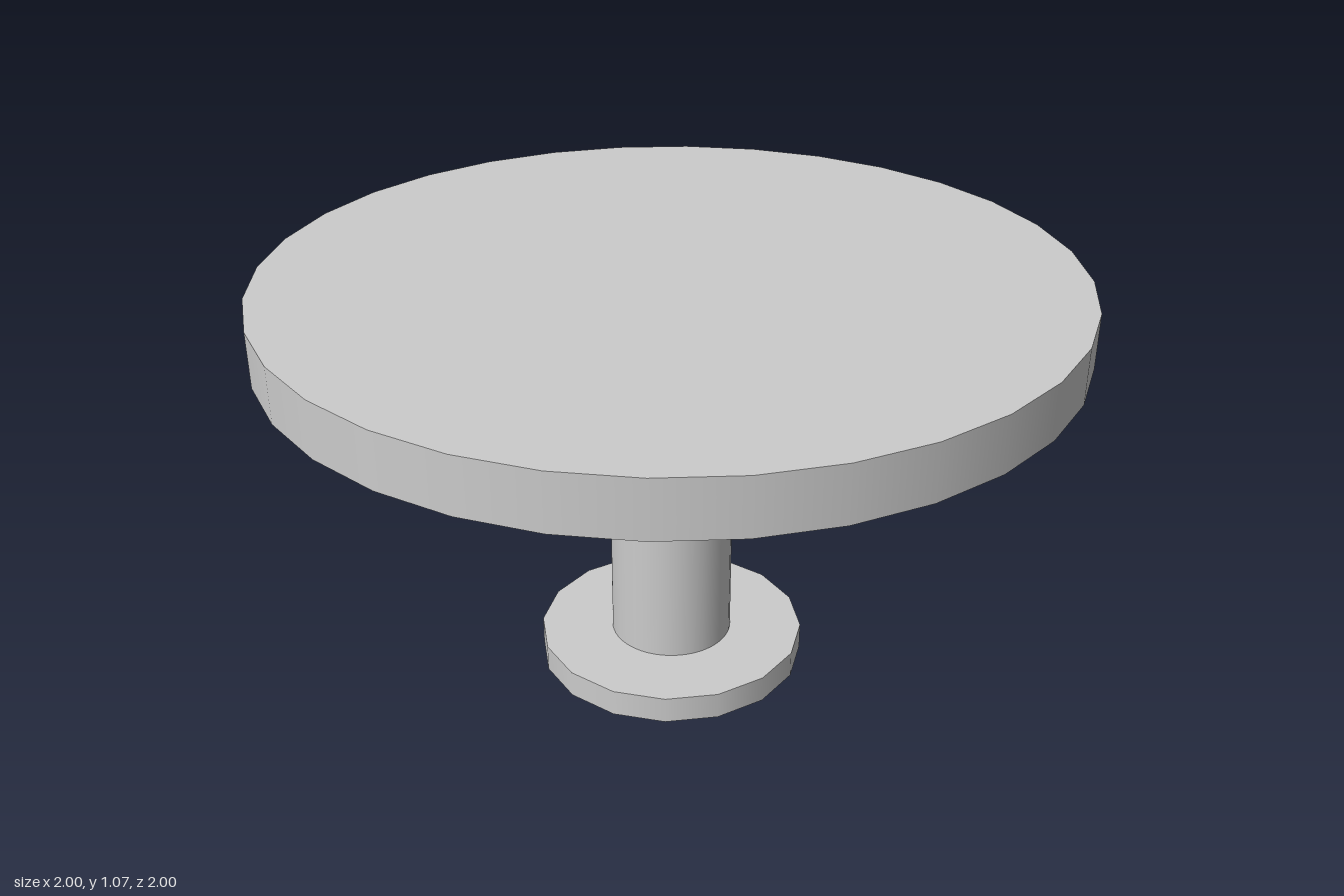
import * as THREE from 'three';

const material = new THREE.MeshStandardMaterial({ color: 0xcccccc });
const openMaterial = new THREE.MeshStandardMaterial({ color: 0xcccccc, side: THREE.DoubleSide });

const COLUMN_RADIUS = 0.157;
const TOP_BOTTOM = 0.93;
const TOP_HEIGHT = 0.137;
const BASE_RADIUS = 0.345;
const BASE_HEIGHT = 0.07;

function addPart(group, name, geometry, mat, y = 0) {
  const mesh = new THREE.Mesh(geometry, mat);
  mesh.name = name;
  mesh.position.y = y;
  group.add(mesh);
  return mesh;
}

export function createModel() {
  const group = new THREE.Group();
  group.name = 'pedestalTable';

  // Round slab
  addPart(group, 'tableTop', new THREE.CylinderGeometry(1, 1, TOP_HEIGHT, 32),
    material, TOP_BOTTOM + TOP_HEIGHT / 2);

  // Hollow column, open at the floor
  addPart(group, 'column',
    new THREE.CylinderGeometry(COLUMN_RADIUS, COLUMN_RADIUS, TOP_BOTTOM, 32, 1, true),
    openMaterial, TOP_BOTTOM / 2);

  // Base flange: a rim closed by two rings around the column
  const base = new THREE.Group();
  base.name = 'base';
  group.add(base);
  addPart(base, 'baseRim',
    new THREE.CylinderGeometry(BASE_RADIUS, BASE_RADIUS, BASE_HEIGHT, 16, 1, true),
    material, BASE_HEIGHT / 2);
  const shape = new THREE.Shape();
  for (let i = 0; i < 16; i++) {
    const a = (i / 16) * Math.PI * 2;
    const x = BASE_RADIUS * Math.cos(a), y = BASE_RADIUS * Math.sin(a);
    if (i) shape.lineTo(x, y); else shape.moveTo(x, y);
  }
  shape.closePath();
  shape.holes.push(new THREE.Path().absarc(0, 0, COLUMN_RADIUS, 0, Math.PI * 2, true));
  const ring = () => new THREE.ShapeGeometry(shape, 32);
  addPart(base, 'baseUpperFace', ring().rotateX(-Math.PI / 2), material, BASE_HEIGHT);
  addPart(base, 'baseLowerFace', ring().rotateX(Math.PI / 2), material);

  return group;
}
